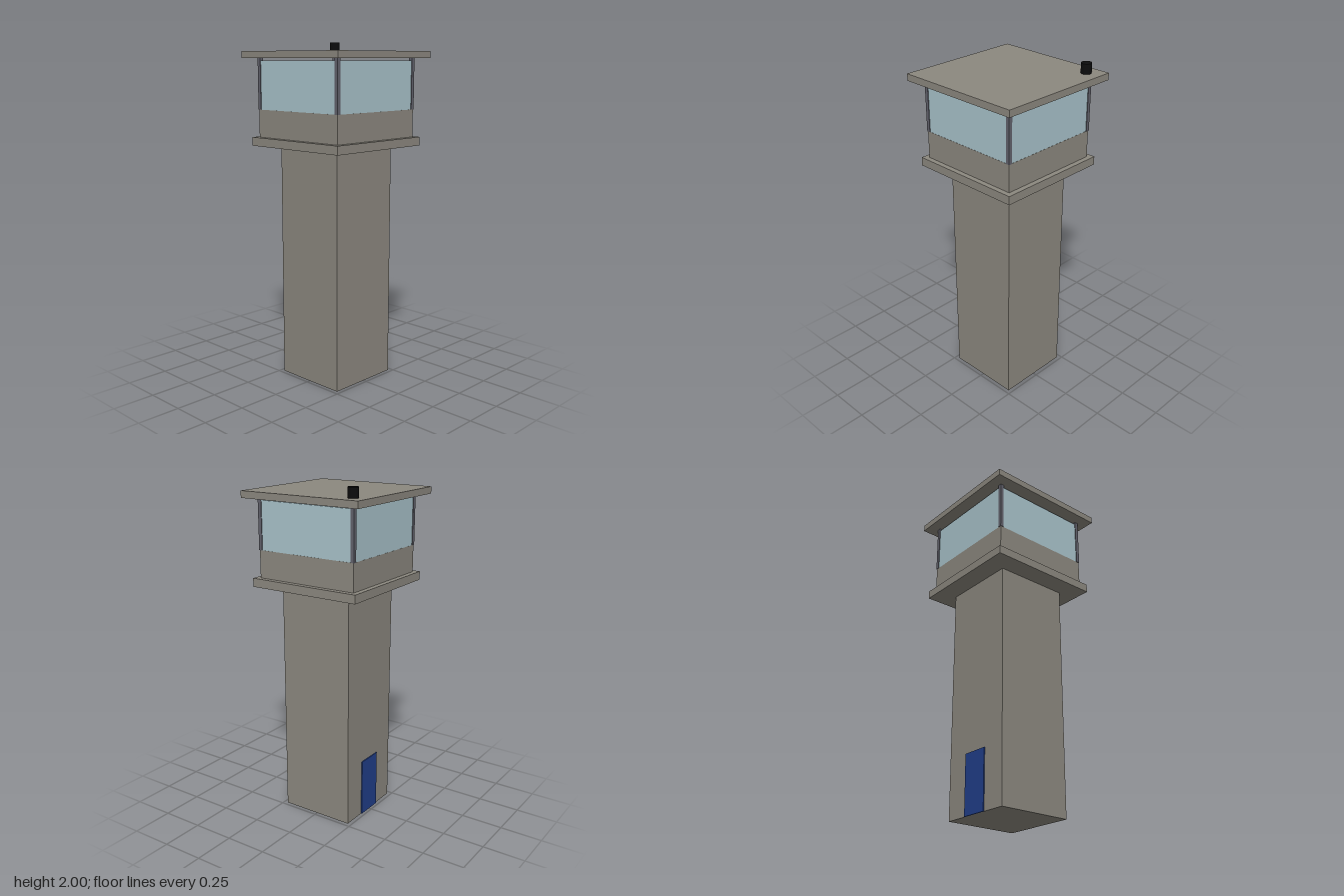
import * as THREE from 'three';

const material = (name, color) => {
  const m = new THREE.MeshStandardMaterial({ color });
  m.name = name;
  return m;
};

export function createModel() {
  const tower = new THREE.Group();
  tower.name = 'watchtower';

  const concrete = material('concrete', 0x8c887f);
  const glass = material('glass', 0xa9c3cb);
  const frame = material('frame', 0x62626c);
  const blue = material('doorBlue', 0x213f8a);
  const black = material('black', 0x0c0c0d);

  // Box given its width, depth, bottom and top
  const block = (name, mat, w, d, bottom, top, x = 0, z = 0) => {
    const mesh = new THREE.Mesh(new THREE.BoxGeometry(w, top - bottom, d), mat);
    mesh.name = name;
    mesh.position.set(x, (bottom + top) / 2, z);
    tower.add(mesh);
  };

  // Shaft, ledge, cabin wall, glazing and roof slab
  block('shaft', concrete, 0.454, 0.454, 0, 1.4);
  block('ledge', concrete, 0.694, 0.694, 1.4, 1.45);
  block('cabinWall', concrete, 0.632, 0.632, 1.45, 1.61);
  block('windows', glass, 0.63, 0.63, 1.61, 1.89);
  block('roof', concrete, 0.768, 0.768, 1.903, 1.943);

  // Corner posts carrying the roof
  for (const x of [-1, 1]) {
    for (const z of [-1, 1]) {
      block('cornerPost', frame, 0.022, 0.022, 1.61, 1.903, x * 0.308, z * 0.308);
    }
  }

  // Door on the back
  block('door', blue, 0.163, 0.007, 0, 0.349, 0, -0.2295);

  // Small vent on the roof
  const vent = new THREE.Mesh(new THREE.CylinderGeometry(0.03, 0.03, 0.057, 16), black);
  vent.name = 'roofVent';
  vent.position.set(0.296, 1.9715, -0.298);
  tower.add(vent);

  return tower;
}
